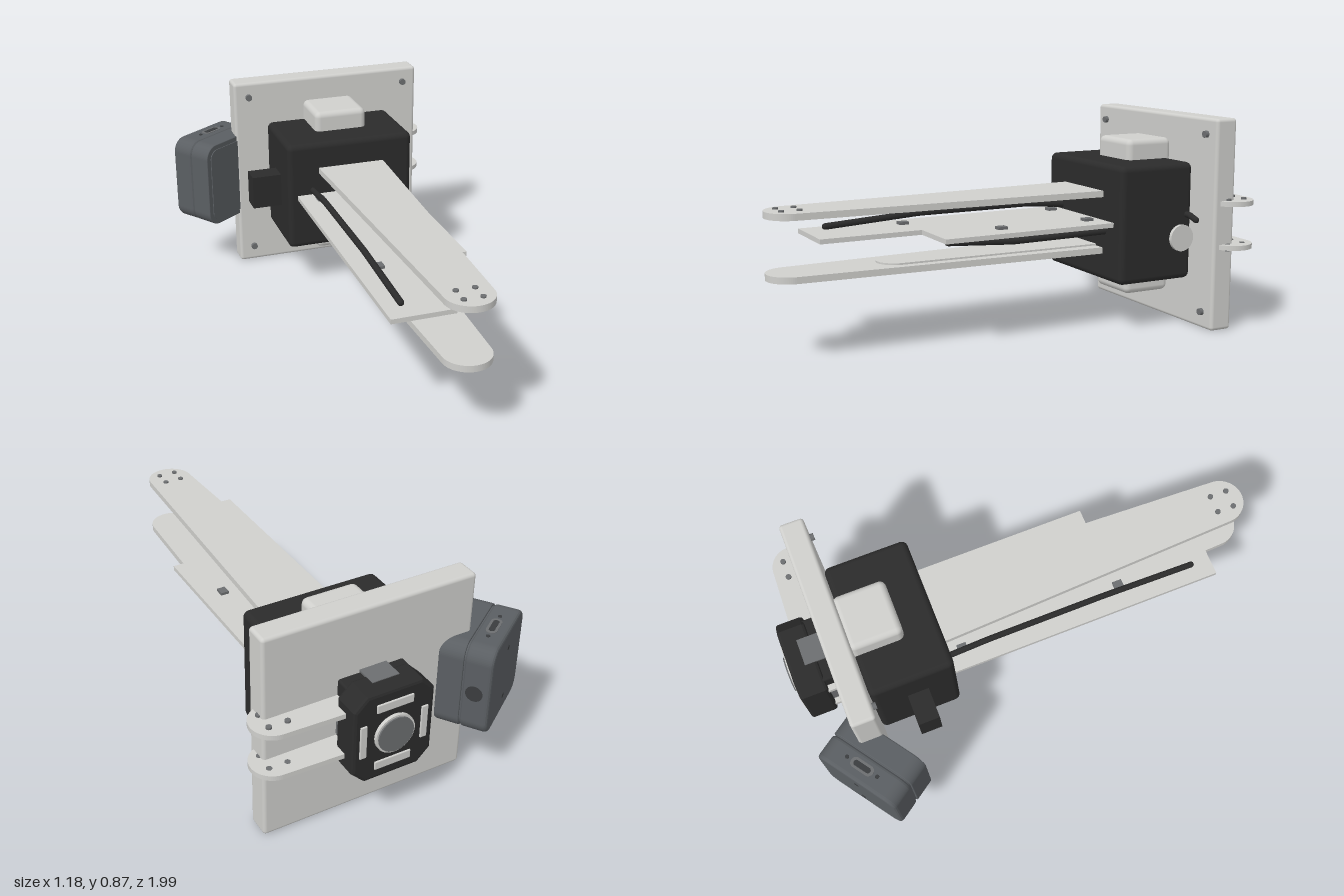
import * as THREE from 'three';
import { RoundedBoxGeometry } from 'three/addons/geometries/RoundedBoxGeometry.js';

export function createModel() {
  const root = new THREE.Group();
  const mat = (name, color) => Object.assign(new THREE.MeshStandardMaterial({ color }), { name });
  const light = mat('light grey', 0xcfcfcc);
  const black = mat('black', 0x2b2b2b);
  const grey = mat('case grey', 0x5a5e62);
  const steel = mat('screw grey', 0x6c6e70);
  const hole = mat('dark hole', 0x3a3c3e);

  const add = (name, geo, m, parent = root) => {
    const mesh = new THREE.Mesh(geo, m);
    mesh.name = name;
    parent.add(mesh);
    return mesh;
  };
  // Box given by its limits, rounded when r > 0
  const box = (name, m, [x0, x1], [y0, y1], [z0, z1], r = 0, parent = root) => {
    const s = [x1 - x0, y1 - y0, z1 - z0];
    const g = r ? new RoundedBoxGeometry(...s, 3, r) : new THREE.BoxGeometry(...s);
    return add(name, g.translate((x0 + x1) / 2, (y0 + y1) / 2, (z0 + z1) / 2), m, parent);
  };
  // Cylinder centred at a point along the given axis
  const disc = (name, m, r, h, axis, x, y, z, parent = root) => {
    const g = new THREE.CylinderGeometry(r, r, h, 28);
    if (axis === 'x') g.rotateZ(Math.PI / 2);
    if (axis === 'z') g.rotateX(Math.PI / 2);
    return add(name, g.translate(x, y, z), m, parent);
  };
  // Flat plate from an outline in x and z, between two heights
  const slab = (name, m, shape, y0, y1) => add(name,
    new THREE.ExtrudeGeometry(shape, { depth: y1 - y0, bevelEnabled: false, curveSegments: 20 })
      .rotateX(Math.PI / 2).translate(0, y1, 0), m);
  const roundedRect = (w, h, r) => {
    const s = new THREE.Shape(), a = w / 2, b = h / 2;
    s.absarc(a - r, b - r, r, 0, Math.PI / 2);
    s.absarc(-a + r, b - r, r, Math.PI / 2, Math.PI);
    s.absarc(-a + r, -b + r, r, Math.PI, Math.PI * 1.5);
    s.absarc(a - r, -b + r, r, Math.PI * 1.5, Math.PI * 2);
    s.closePath();
    return s;
  };

  // Mounting plate with corner screws
  box('mountingPlate', light, [-0.325, 0.535], [0, 0.865], [-0.82, -0.722], 0.014);
  for (const x of [-0.26, 0.47]) for (const y of [0.07, 0.8])
    disc('plateScrew', steel, 0.014, 0.03, 'z', x, y, -0.722);

  // Front housing
  box('housing', black, [-0.18, 0.387], [0.195, 0.678], [-0.722, -0.375], 0.025);
  box('spine', light, [-0.01, 0.223], [0.11, 0.763], [-0.73, -0.515], 0.025);
  box('sideConnector', black, [-0.308, -0.17], [0.36, 0.505], [-0.585, -0.497]);
  disc('sideCap', light, 0.055, 0.03, 'x', 0.387, 0.37, -0.665);
  const cable = (name, pts, r) => {
    const path = new THREE.CurvePath();
    const v = pts.map(p => new THREE.Vector3(...p));
    for (let i = 1; i < v.length; i++) path.add(new THREE.LineCurve3(v[i - 1], v[i]));
    add(name, new THREE.TubeGeometry(path, 40, r, 10), black);
    for (const p of [v[0], v[v.length - 1]])
      add(name + 'End', new THREE.SphereGeometry(r, 10, 8).translate(p.x, p.y, p.z), black);
  };
  cable('sideCable', [[0.37, 0.465, -0.695], [0.41, 0.463, -0.695], [0.45, 0.45, -0.695]], 0.013);

  // Upper and lower tapered arms, with an inner strip and tip screws
  const arm = new THREE.Shape();
  arm.moveTo(0.254, -0.4);
  arm.lineTo(0.2, 0.9);
  arm.absarc(0.105, 0.9, 0.095, 0, Math.PI);
  arm.lineTo(-0.043, -0.4);
  arm.closePath();
  const strip = new THREE.Shape();
  strip.moveTo(0.205, -0.4);
  strip.lineTo(0.182, 0.48);
  strip.absarc(0.105, 0.48, 0.077, 0, Math.PI);
  strip.lineTo(0.005, -0.4);
  strip.closePath();
  for (const [label, y, out] of [['upper', 0.553, 1], ['lower', 0.319, -1]]) {
    slab(label + 'Arm', light, arm, y - 0.013, y + 0.013);
    const inner = y - out * 0.016;
    slab(label + 'ArmStrip', light, strip, inner - 0.004, inner + 0.004);
    for (const x of [0.067, 0.14]) for (const z of [0.87, 0.94])
      disc(label + 'ArmScrew', steel, 0.011, 0.012, 'y', x, y + out * 0.013, z);
  }

  // Stepped middle plate with clips and two cables
  const middle = new THREE.Shape([
    [-0.14, -0.4], [0.333, -0.4], [0.333, 0.37], [0.115, 0.37], [0.115, 0.787], [-0.14, 0.787],
  ].map(p => new THREE.Vector2(...p)));
  slab('middlePlate', light, middle, 0.427, 0.446);
  for (const [x, z] of [[-0.038, 0.385], [-0.055, -0.31], [0.24, 0.087], [0.235, -0.31]])
    box('plateClip', steel, [x - 0.017, x + 0.017], [0.416, 0.457], [z - 0.02, z + 0.02]);
  cable('upperCable', [[-0.07, 0.462, -0.4], [-0.07, 0.481, -0.2], [-0.07, 0.481, 0.3], [-0.07, 0.458, 0.7]], 0.013);
  cable('lowerCable', [[0.267, 0.402, -0.4], [0.267, 0.399, 0.05], [0.267, 0.418, 0.33]], 0.013);

  // Rear brackets
  const tongue = new THREE.Shape();
  tongue.moveTo(-0.055, -0.925);
  tongue.lineTo(0.27, -0.925);
  tongue.lineTo(0.505, -0.917);
  tongue.absarc(0.503, -0.83, 0.087, -Math.PI / 2, Math.PI / 2);
  tongue.lineTo(-0.055, -0.74);
  tongue.closePath();
  for (const [y, out] of [[0.525, 1], [0.347, -1]]) {
    slab('rearBracket', light, tongue, y - 0.01, y + 0.01);
    for (const x of [0.463, 0.535]) for (const z of [-0.865, -0.79])
      disc('bracketScrew', steel, 0.011, 0.03, 'y', x, y + out * 0.003, z);
  }

  // Rear motor: chamfered shell, inner body, light slots and a round cap
  const cx = 0.105, cy = 0.432;
  const corner = 0.045, hw = 0.152, hh = 0.175;
  const oct = new THREE.Shape([
    [hw, -hh + corner], [hw, hh - corner], [hw - corner, hh], [-hw + corner, hh],
    [-hw, hh - corner], [-hw, -hh + corner], [-hw + corner, -hh], [hw - corner, -hh],
  ].map(p => new THREE.Vector2(...p)));
  add('motorShell', new THREE.ExtrudeGeometry(oct, {
    depth: 0.09, bevelThickness: 0.012, bevelSize: 0.012, bevelSegments: 2,
  }).translate(cx, cy, -0.967), black);
  box('motorBody', black, [-0.03, 0.24], [0.265, 0.6], [-0.9, -0.81], 0.01);
  for (const s of [-1, 1]) {
    box('motorEndPanel', steel, [cx - 0.055, cx + 0.055], [cy + s * 0.186 - 0.004, cy + s * 0.186 + 0.004], [-0.915, -0.83]);
    box('motorSidePanel', steel, [cx + s * 0.137 - 0.004, cx + s * 0.137 + 0.004], [0.37, 0.495], [-0.9, -0.825]);
    box('motorEndSlot', light, [cx - 0.075, cx + 0.075], [cy + s * 0.125 - 0.018, cy + s * 0.125 + 0.018], [-0.985, -0.976], 0.004);
    box('motorSideSlot', light, [cx + s * 0.125 - 0.014, cx + s * 0.125 + 0.014], [cy - 0.07, cy + 0.07], [-0.985, -0.976], 0.004);
  }
  disc('motorCapRim', light, 0.08, 0.02, 'z', cx, cy, -0.982);
  disc('motorCap', steel, 0.072, 0.012, 'z', cx, cy, -0.992);

  // Side case, turned outward, in two halves with a seam
  const box2 = new THREE.Group();
  box2.name = 'sideCase';
  box2.position.set(-0.39, 0.432, -0.8);
  box2.rotation.y = 0.608;
  root.add(box2);
  const shell = (name, w, h, r, z0, z1, bevel) => add(name,
    new THREE.ExtrudeGeometry(roundedRect(w - 2 * bevel, h - 2 * bevel, r - bevel), {
      depth: z1 - z0 - 2 * bevel, bevelThickness: bevel, bevelSize: bevel,
      bevelSegments: 3, curveSegments: 8, bevelEnabled: bevel > 0,
    }).translate(0, 0, z0 + bevel), grey, box2);
  shell('caseBack', 0.365, 0.378, 0.06, -0.105, 0.002, 0.014);
  shell('caseSeam', 0.35, 0.362, 0.052, -0.02, 0.03, 0);
  shell('caseFront', 0.365, 0.378, 0.06, 0.005, 0.1, 0.003);
  shell('caseFrontPanel', 0.32, 0.335, 0.04, 0.09, 0.104, 0);
  for (const y of [-0.11, 0.11])
    disc('caseBackHole', hole, 0.01, 0.006, 'z', 0, y, -0.104, box2);
  disc('casePort', hole, 0.033, 0.006, 'x', 0.181, 0, -0.045, box2);
  const flat = (name, w, d, r, y, m) => add(name,
    new THREE.ExtrudeGeometry(roundedRect(w, d, r), { depth: 0.005, bevelEnabled: false })
      .rotateX(-Math.PI / 2).translate(0.005, y, -0.045), m, box2);
  flat('socketRim', 0.1, 0.042, 0.02, 0.186, steel);
  flat('socketSlot', 0.075, 0.022, 0.01, 0.1875, hole);
  for (const x of [-0.065, 0.075])
    disc('socketScrew', hole, 0.008, 0.006, 'y', x, 0.188, -0.045, box2);

  return root;
}
